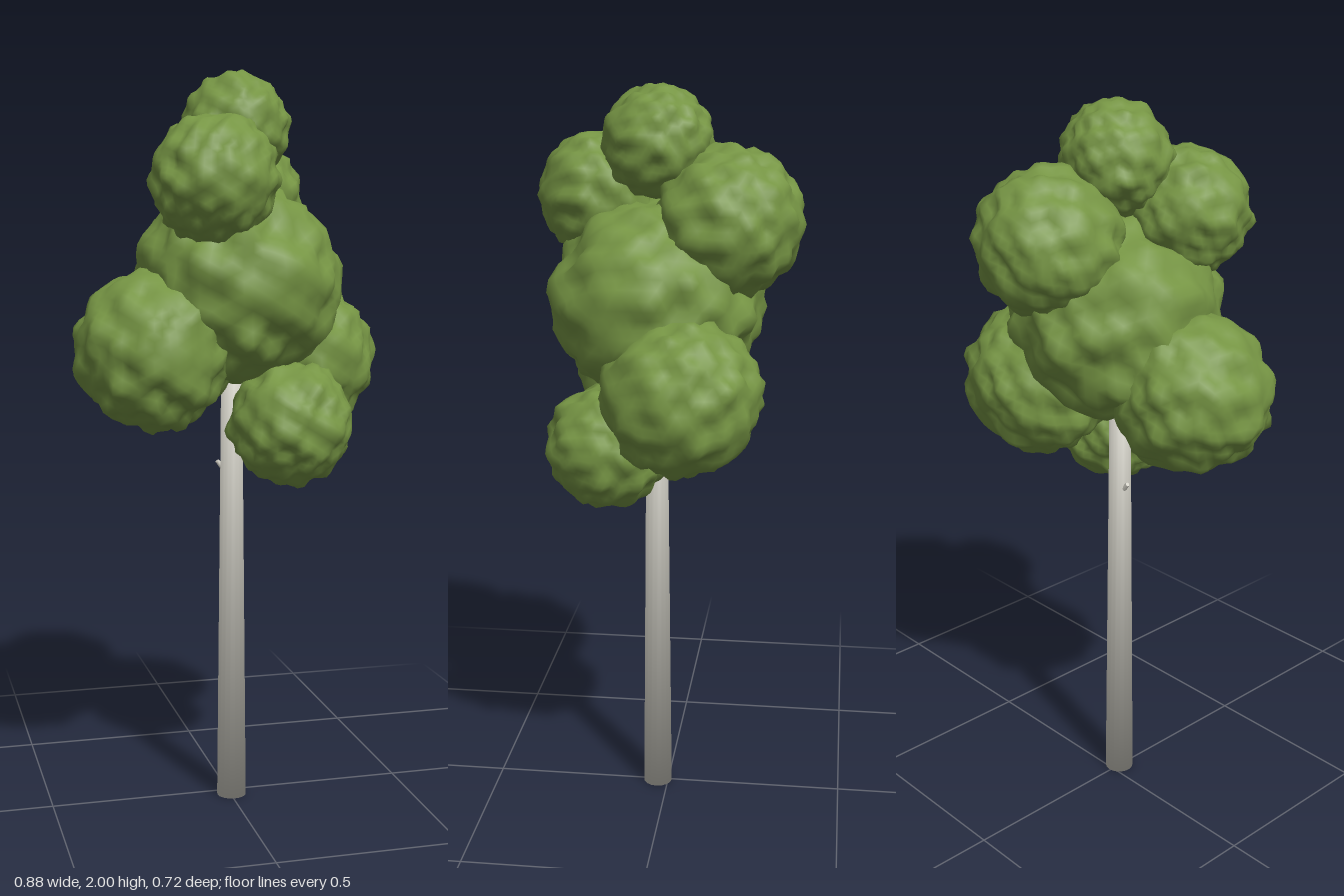
import * as THREE from 'three';
import { mergeVertices } from 'three/addons/utils/BufferGeometryUtils.js';

// x, y, z and radius of each leaf clump
const CLUMPS = {
  topClump: [0.015, 1.855, 0.025, 0.142],
  upperFrontClump: [-0.082, 1.709, 0.19, 0.164],
  upperBackClump: [0.062, 1.658, -0.167, 0.189],
  centreClump: [0.02, 1.438, 0.028, 0.276],
  rightClump: [-0.22, 1.268, 0.078, 0.21],
  leftClump: [0.222, 1.233, -0.06, 0.207],
  lowerFrontClump: [0.138, 1.07, 0.142, 0.163],
};

// Sphere pushed in and out by layered waves, with smooth normals
function lumpyBall(radius, seed) {
  let geo = new THREE.IcosahedronGeometry(1, 10);
  geo.deleteAttribute('uv');
  geo.deleteAttribute('normal');
  geo = mergeVertices(geo, 1e-4);
  const pos = geo.attributes.position;
  const v = new THREE.Vector3();
  for (let i = 0; i < pos.count; i++) {
    v.fromBufferAttribute(pos, i).normalize();
    const { x, y, z } = v;
    const broad = Math.sin(7 * x + 3 * y + seed) * Math.sin(8 * y - 2 * z + seed * 2.3)
      + Math.sin(7.5 * z + 3 * x + seed * 1.7) * Math.sin(6 * y + 4 * x);
    const fine = Math.sin(13 * x + 6 * z + seed * 3.1) * Math.sin(12 * y - 5 * x + seed)
      + Math.sin(14 * z + 5 * y + seed * 0.7) * Math.sin(12 * x - 6 * y);
    v.multiplyScalar(radius * (1 + 0.026 * broad + 0.042 * fine));
    pos.setXYZ(i, v.x, v.y, v.z);
  }
  geo.computeVertexNormals();
  return geo;
}

export function createModel() {
  const tree = new THREE.Group();
  tree.name = 'tree';
  const leaf = new THREE.MeshStandardMaterial({ color: 0x769544 });
  leaf.name = 'leafGreen';
  const bark = new THREE.MeshStandardMaterial({ color: 0xd4d2c8 });
  bark.name = 'paleBark';
  const add = (name, geo, mat, x, y, z) => {
    const mesh = new THREE.Mesh(geo, mat);
    mesh.name = name;
    mesh.position.set(x, y, z);
    tree.add(mesh);
    return mesh;
  };

  // Foliage, the centre clump slightly flattened
  Object.entries(CLUMPS).forEach(([name, [x, y, z, r]], i) => {
    add(name, lumpyBall(r, i * 2.17 + 1), leaf, x, y, z);
  });
  tree.getObjectByName('centreClump').scale.y = 0.97;

  // Tapered trunk, its normals rounded over softly at both ends
  const trunkGeo = new THREE.CylinderGeometry(0.028, 0.041, 1.3, 16);
  const { position, normal } = trunkGeo.attributes;
  const n = new THREE.Vector3();
  for (let i = 0; i < position.count; i++) {
    n.fromBufferAttribute(position, i);
    const end = Math.sign(n.y);
    n.setY(0).normalize().setY(end).normalize();
    normal.setXYZ(i, n.x, n.y, n.z);
  }
  add('trunk', trunkGeo, bark, 0.004, 0.65, 0.03);

  // Small broken twig
  const twig = add('twigStub', new THREE.CylinderGeometry(0.006, 0.009, 0.032, 6), bark, -0.025, 0.945, 0.022);
  twig.rotation.z = 0.7;

  return tree;
}
